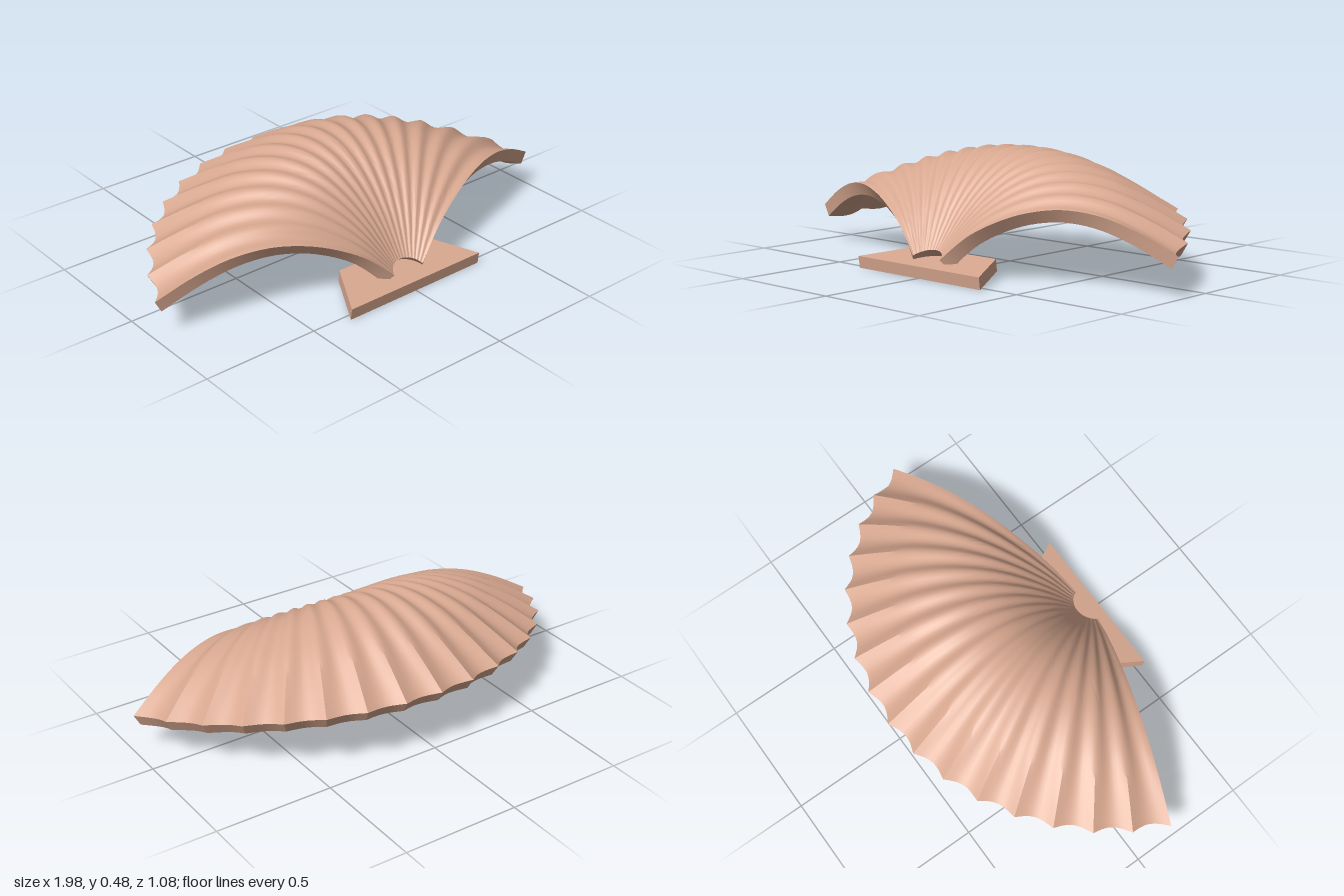
import * as THREE from 'three';
import { toCreasedNormals } from 'three/addons/utils/BufferGeometryUtils.js';

const RIBS = 16, PER_RIB = 8, STEPS = 32;
const SPREAD = THREE.MathUtils.degToRad(70.5);
const HINGE_Z = 0.51, THICK = 0.057, RISE = 0.168;

const curve = (pts) => new THREE.SplineCurve(pts.map(([r, h]) => new THREE.Vector2(r, h)));
// radial profiles (radius, height) at the middle of the fan and along its side edges
const middle = curve([[0.08, 0.087], [0.2, 0.235], [0.33, 0.34], [0.46, 0.388], [0.6, 0.379], [0.75, 0.317], [0.9, 0.215], [1.05, 0.1]]);
const edge = curve([[0.08, 0.072], [0.2, 0.165], [0.33, 0.225], [0.46, 0.26], [0.6, 0.27], [0.75, 0.245], [0.9, 0.185], [1.05, 0.1]]);

// smooth dome without ribs
function dome(a, t) {
  const p = middle.getPoint(t).lerp(edge.getPoint(t), Math.pow(Math.abs(a) / SPREAD, 2.2));
  const back = p.x * Math.cos(a);
  return new THREE.Vector3(p.x * Math.sin(a), p.y + RISE * back, HINGE_Z - back);
}

// ribbed top point and the matching point on the underside
function shellPair(i, t) {
  const u = i / (RIBS * PER_RIB);
  const a = (u * 2 - 1) * SPREAD;
  const p = dome(a, t), e = 0.004;
  const t0 = Math.max(0, t - e), t1 = Math.min(1, t + e);
  const da = dome(a + e, t).sub(dome(a - e, t));
  const dr = dome(a, t1).sub(dome(a, t0));
  const n = da.cross(dr).normalize();
  // soft waves inside, sharp crests towards the rim
  const r = 0.08 + 0.97 * t;
  const s = Math.abs(Math.sin(Math.PI * u * RIBS));
  const sharp = THREE.MathUtils.clamp((r - 0.8) / 0.2, 0, 1);
  const dip = THREE.MathUtils.lerp(s * s, s, sharp);
  p.addScaledVector(n, -0.022 * r * dip);
  // scalloped rim
  p.addScaledVector(dr.normalize(), -0.02 * dip * sharp);
  return [p, p.clone().addScaledVector(n, -THICK)];
}

function shellGeometry() {
  const N = RIBS * PER_RIB, L = 2 * (STEPS + 1);
  const pos = [], idx = [];
  for (let i = 0; i <= N; i++) {
    const pairs = [];
    for (let j = 0; j <= STEPS; j++) pairs.push(shellPair(i, j / STEPS));
    const loop = [...pairs.map((q) => q[0]), ...pairs.map((q) => q[1]).reverse()];
    loop.forEach((p) => pos.push(p.x, p.y, p.z));
  }
  for (let i = 0; i < N; i++) {
    for (let k = 0; k < L; k++) {
      const a = i * L + k, b = i * L + (k + 1) % L;
      idx.push(a, a + L, b, a + L, b + L, b);
    }
  }
  // side faces closing both ends of the fan
  for (let j = 0; j < STEPS; j++) {
    const t = j, t2 = j + 1, b = L - 1 - j, b2 = L - 2 - j, o = N * L;
    idx.push(t, t2, b, t2, b2, b);
    idx.push(o + t, o + b, o + t2, o + t2, o + b, o + b2);
  }
  const g = new THREE.BufferGeometry();
  g.setAttribute('position', new THREE.Float32BufferAttribute(pos, 3));
  g.setIndex(idx);
  return toCreasedNormals(g, 0.5);
}

// trapezoid slab, drawn with its front edge on y = 0 and depth along +y
function slab(height, withHoles) {
  const s = new THREE.Shape([[-0.34, 0], [0.34, 0], [0.22, 0.222], [-0.22, 0.222]].map(([x, y]) => new THREE.Vector2(x, y)));
  if (withHoles) {
    for (const x of [-0.1, 0.1]) {
      s.holes.push(new THREE.Path().absarc(x, 0.09, 0.011, 0, Math.PI * 2, true));
    }
  }
  return new THREE.ExtrudeGeometry(s, { depth: height, bevelEnabled: false, curveSegments: 12 }).rotateX(-Math.PI / 2);
}

export function createModel() {
  const model = new THREE.Group();
  const clay = new THREE.MeshStandardMaterial({ color: 0xd8a890 });
  clay.name = 'clay pink';

  const shell = new THREE.Mesh(shellGeometry(), clay);
  shell.name = 'scallopShell';
  model.add(shell);

  // foot: lower layer has two small blind holes, upper layer is solid
  const foot = new THREE.Group();
  foot.name = 'foot';
  const lower = new THREE.Mesh(slab(0.02, true), clay);
  lower.name = 'footUnderside';
  const upper = new THREE.Mesh(slab(0.03, false), clay);
  upper.name = 'footTop';
  upper.position.y = 0.02;
  foot.add(lower, upper);
  foot.rotation.x = THREE.MathUtils.degToRad(7);
  foot.position.z = 0.53;
  model.add(foot);
  return model;
}
